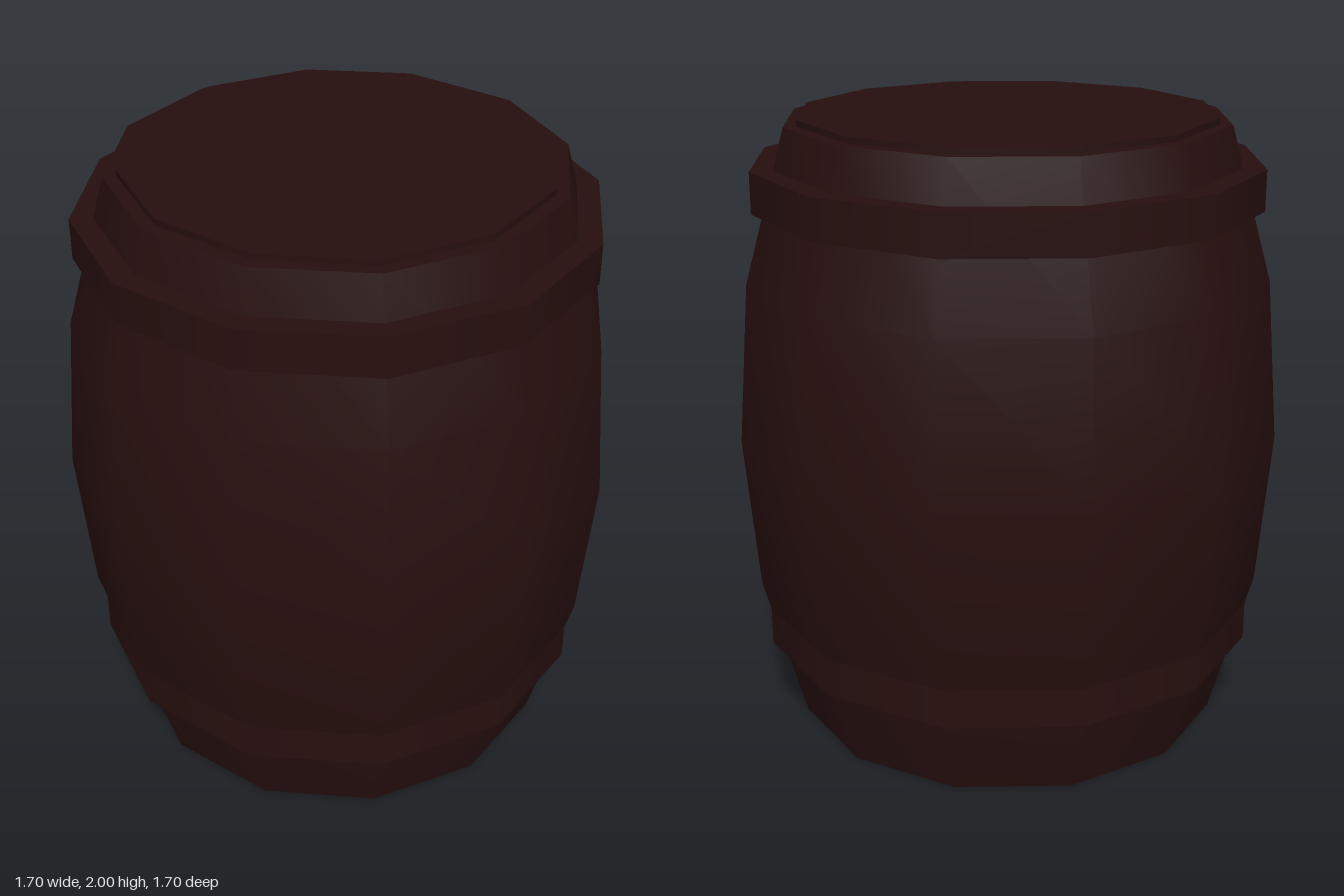
import * as THREE from 'three';

const SIDES = 12;
const START = Math.PI / SIDES; // flat sides face the axes
const K = 1 / Math.cos(START); // flat-to-flat half width -> corner radius

export function createModel() {
  const model = new THREE.Group();
  model.name = 'barrel';
  const wood = new THREE.MeshStandardMaterial({ color: 0x260f0e });
  wood.name = 'dark brown wood';

  function add(name, geometry, y = 0) {
    const mesh = new THREE.Mesh(geometry, wood);
    mesh.name = name;
    mesh.position.y = y;
    model.add(mesh);
    return mesh;
  }

  // Twelve-sided disc or ring, standing from y0 to y1
  function drum(name, halfWidth, y0, y1) {
    const r = halfWidth * K;
    return add(name, new THREE.CylinderGeometry(r, r, y1 - y0, SIDES, 1, false, START), (y0 + y1) / 2);
  }

  // Bulging staves
  const profile = [[0.68, 0], [0.81, 0.49], [0.85, 0.99], [0.81, 1.5], [0.68, 1.98]]
    .map(([w, y]) => new THREE.Vector2(w * K, y));
  add('staves', new THREE.LatheGeometry(profile, SIDES, START));

  // Flat ends closing the staves
  for (const [name, y, tilt] of [['topEnd', 1.98, -1], ['bottomEnd', 0, 1]]) {
    const end = new THREE.CircleGeometry(0.68 * K, SIDES, START);
    end.rotateX(tilt * Math.PI / 2);
    add(name, end, y);
  }

  // Raised lid
  drum('lid', 0.64, 1.98, 2);

  // Hoops
  drum('upperHoop', 0.785, 1.72, 1.85);
  drum('lowerHoop', 0.785, 0.27, 0.4);

  return model;
}
